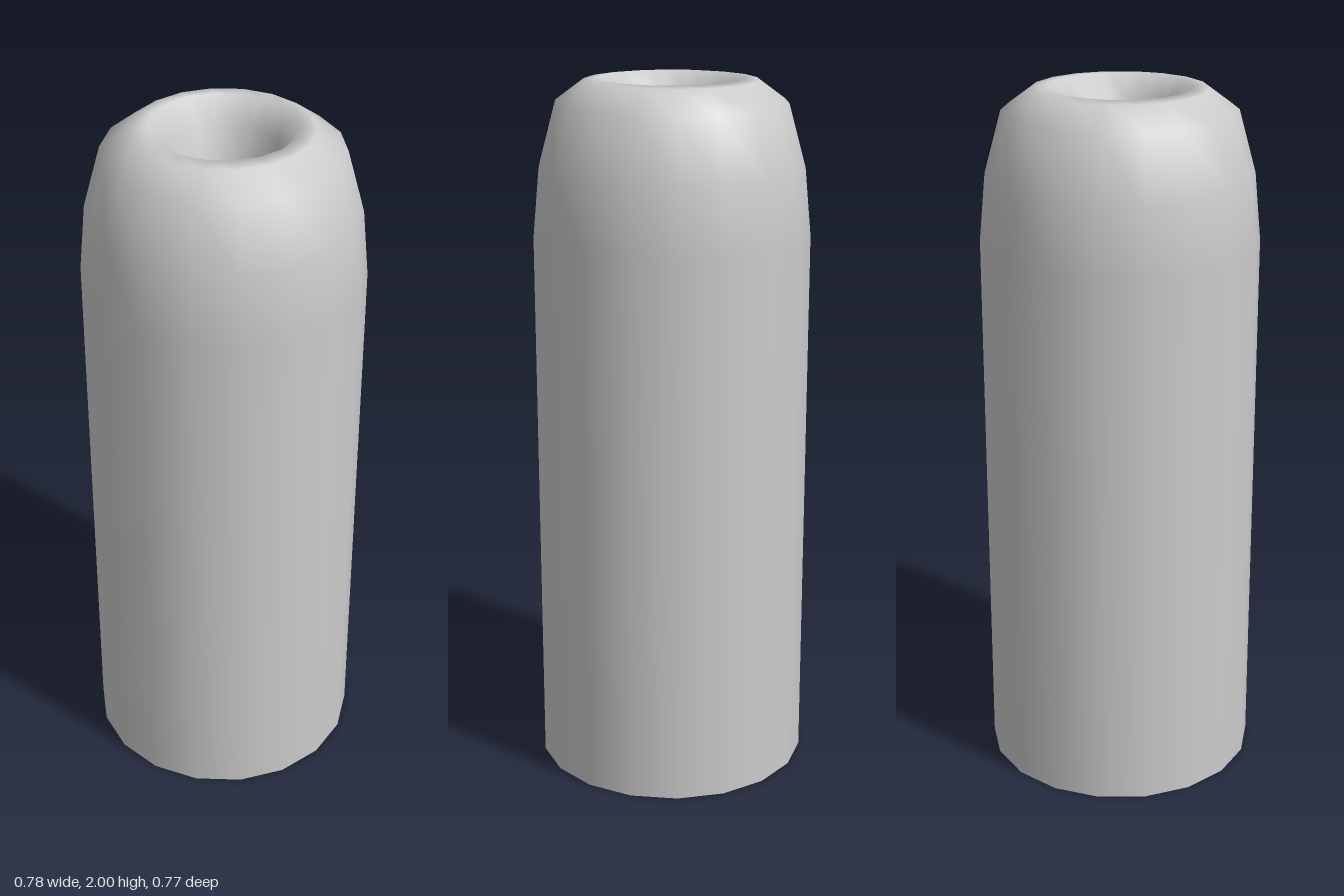
import * as THREE from 'three';

// Open-bottomed sleeve whose rounded top rolls inward into a narrow central hole.
export function createModel() {
  const group = new THREE.Group();
  group.name = 'hollowSleeve';
  const material = new THREE.MeshStandardMaterial({ color: 0xcccccc, side: THREE.DoubleSide });

  // [radius, height] from the bottom rim, over the lip and down into the hole
  const profile = [
    [0.391, 0], [0.391, 1.57], [0.373, 1.76], [0.325, 1.935], [0.243, 1.995], [0.2, 2],
    [0.15, 1.935], [0.103, 1.76], [0.076, 1.57],
  ].map(([r, y]) => new THREE.Vector2(r, y));

  const sleeve = new THREE.Mesh(new THREE.LatheGeometry(profile, 18, Math.PI / 2), material);
  sleeve.name = 'sleeveWithRolledLip';
  group.add(sleeve);
  return group;
}
